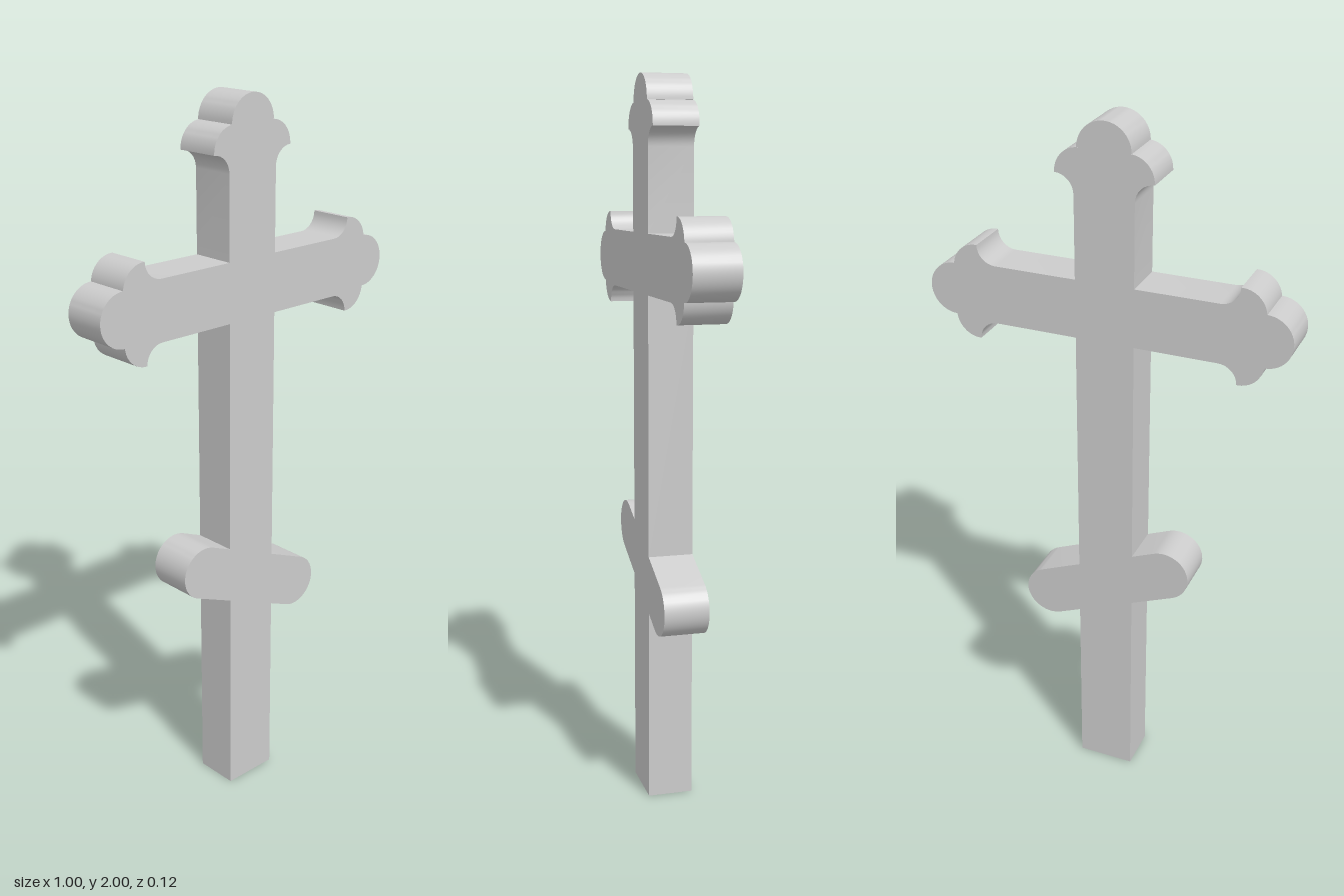
import * as THREE from 'three';
import { toCreasedNormals } from 'three/addons/utils/BufferGeometryUtils.js';

const HALF = 0.081;      // half width of post and crossbar
const DEPTH = 0.125;
const ARM_Y = 1.503;     // height of the crossbar's centre line

// Points along an arc from angle a0 to a1
function arc(cx, cy, r, a0, a1, n) {
  return Array.from({ length: n + 1 }, (_, i) => {
    const a = a0 + ((a1 - a0) * i) / n;
    return new THREE.Vector2(cx + r * Math.cos(a), cy + r * Math.sin(a));
  });
}

// Three-lobed end pointing along +y with its tip at the origin, then turned and placed
function trefoilEnd(tipX, tipY, angle) {
  const half = [
    ...arc(0.132, -0.192, 0.132 - HALF, Math.PI, Math.PI / 2, 8),  // concave neck
    ...arc(0.066, -0.138, 0.066, 0, Math.PI / 2, 10),              // side lobe
    ...arc(0, -0.072, 0.072, 0, Math.PI / 2, 12),                  // tip lobe
  ];
  const mirrored = half.slice(0, -1).reverse().map((p) => new THREE.Vector2(-p.x, p.y));
  const origin = new THREE.Vector2();
  const tip = new THREE.Vector2(tipX, tipY);
  return [...half, ...mirrored].map((p) => p.rotateAround(origin, angle).add(tip));
}

// Rounded half of the slanted footrest; side is +1 (right of the outline) or -1
function footrestEnd(side) {
  const cx = 0.174, midY = 0.658, drop = 0.074, r = 0.074;
  const slope = -drop / cx;
  const tilt = Math.atan(slope);
  const offset = r / Math.cos(tilt);
  const start = tilt - Math.PI / 2 + (side < 0 ? Math.PI : 0);
  const x = side * HALF;
  const y = midY + slope * x;
  return [
    new THREE.Vector2(x, y - side * offset),
    ...arc(side * cx, midY - side * drop, r, start, start + Math.PI, 24),
    new THREE.Vector2(x, y + side * offset),
  ];
}

export function createModel() {
  const group = new THREE.Group();
  group.name = 'threeBarCross';
  const v = (x, y) => new THREE.Vector2(x, y);

  // One continuous outline, counter-clockwise from the foot of the post
  const outline = new THREE.Shape([
    v(-HALF, 0), v(HALF, 0),
    ...footrestEnd(1),
    v(HALF, ARM_Y - HALF),
    ...trefoilEnd(0.5, ARM_Y, -Math.PI / 2),
    v(HALF, ARM_Y + HALF),
    ...trefoilEnd(0, 2, 0),
    v(-HALF, ARM_Y + HALF),
    ...trefoilEnd(-0.5, ARM_Y, Math.PI / 2),
    v(-HALF, ARM_Y - HALF),
    ...footrestEnd(-1),
  ]);

  const geometry = new THREE.ExtrudeGeometry(outline, { depth: DEPTH, bevelEnabled: false });
  geometry.translate(0, 0, -DEPTH / 2);

  const cross = new THREE.Mesh(
    toCreasedNormals(geometry, Math.PI / 6),
    new THREE.MeshStandardMaterial({ color: 0xcccccc }),
  );
  cross.name = 'crossBody';
  group.add(cross);
  return group;
}
